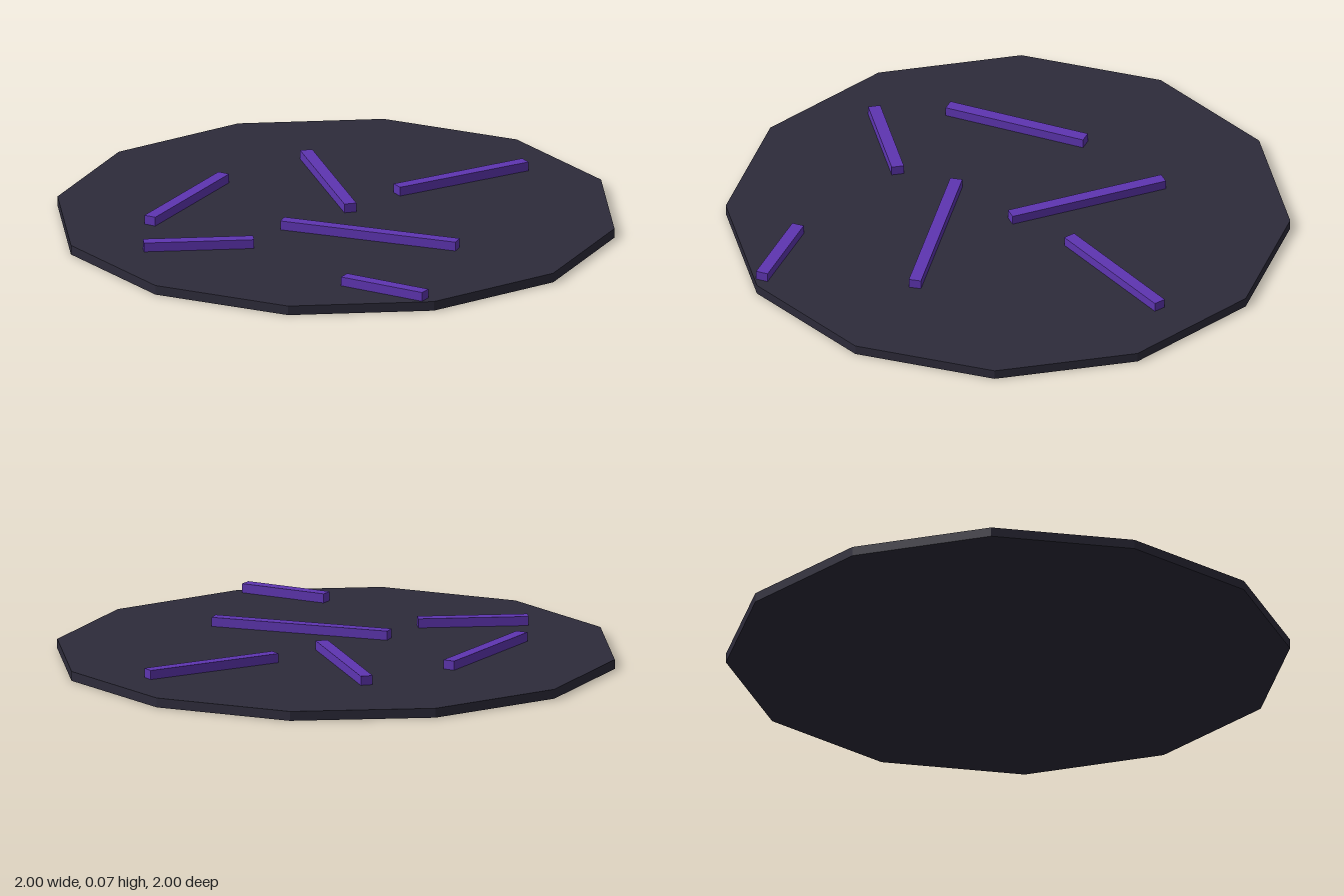
import * as THREE from 'three';

export function createModel() {
  const model = new THREE.Group();
  const stone = new THREE.MeshStandardMaterial({ color: 0x2d2b3a, flatShading: true });
  stone.name = 'dark slate';
  const purple = new THREE.MeshStandardMaterial({ color: 0x5e35b1, flatShading: true });
  purple.name = 'purple';

  const baseHeight = 0.034, top = 0.067, barWidth = 0.044;

  // Twelve-sided slab
  const base = new THREE.Mesh(new THREE.CylinderGeometry(1, 1, baseHeight, 12), stone);
  base.name = 'base';
  base.position.y = baseHeight / 2;
  model.add(base);

  // Scattered bars lying on the slab: end points x1, z1, x2, z2
  const bars = [
    [0.222, -0.781, 0.043, -0.285],
    [-0.444, -0.369, 0.038, -0.034],
    [-0.043, 0.245, 0.577, 0.021],
    [-0.513, 0.004, -0.422, 0.523],
    [0.004, 0.461, -0.273, 0.738],
    [0.503, 0.56, 0.829, 0.503],
  ];
  bars.forEach(([x1, z1, x2, z2], i) => {
    const dx = x2 - x1, dz = z2 - z1;
    const height = top - baseHeight;
    const bar = new THREE.Mesh(new THREE.BoxGeometry(Math.hypot(dx, dz), height, barWidth), purple);
    bar.name = `bar${i + 1}`;
    bar.position.set((x1 + x2) / 2, baseHeight + height / 2, (z1 + z2) / 2);
    bar.rotation.y = -Math.atan2(dz, dx);
    model.add(bar);
  });

  return model;
}
